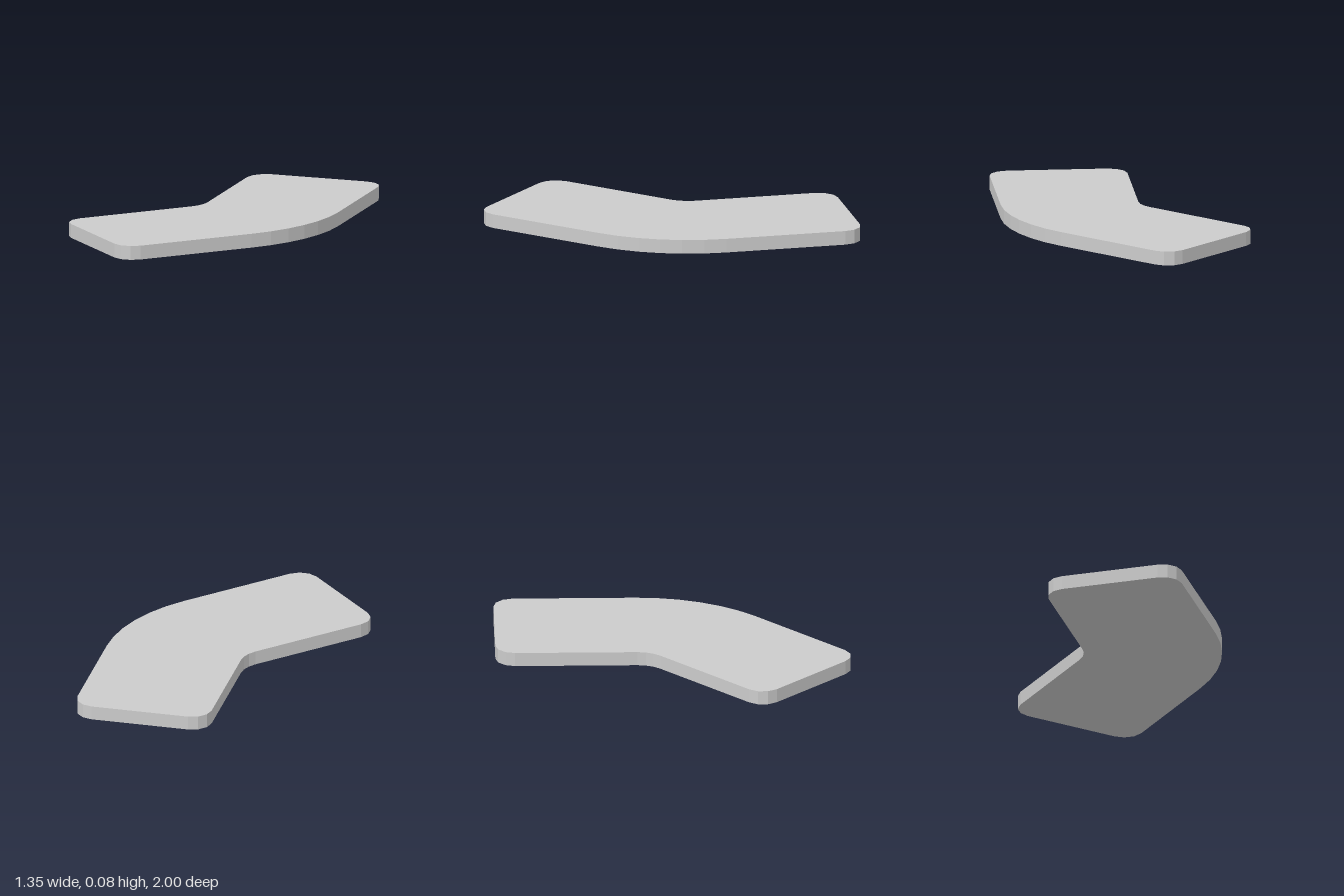
import * as THREE from 'three';

const THICKNESS = 0.08;
const INNER = 0.18;        // inner bend radius
const OUTER = 0.96;        // outer bend radius
const CORNER = 0.11;       // rounding of the four end corners
const PIVOT = new THREE.Vector2(-0.286, 0.2); // centre of the bend
const BACK_LENGTH = 0.8;
const FRONT_LENGTH = 0.806;

// Points of a faceted arc, angles in degrees
function arc(center, radius, from, to, segments) {
  return Array.from({ length: segments + 1 }, (_, i) => {
    const a = THREE.MathUtils.degToRad(from + ((to - from) * i) / segments);
    return new THREE.Vector2(center.x + radius * Math.cos(a), center.y + radius * Math.sin(a));
  });
}

// Rounded end corner: distance from the pivot, along an arm leaving the bend at bendAngle
function endCorner(radial, along, bendAngle, startAngle) {
  const center = new THREE.Vector2(radial, along)
    .rotateAround(new THREE.Vector2(), THREE.MathUtils.degToRad(bendAngle))
    .add(PIVOT);
  return arc(center, CORNER, startAngle, startAngle + 90, 3);
}

export function createModel() {
  const group = new THREE.Group();
  group.name = 'bentSlab';

  const back = BACK_LENGTH - CORNER;
  const front = -(FRONT_LENGTH - CORNER);
  // Outline drawn counter-clockwise, with shape y pointing to the back
  const outline = [
    ...endCorner(OUTER - CORNER, back, 0, 0),
    ...endCorner(INNER + CORNER, back, 0, 90),
    ...arc(PIVOT, INNER, 0, -45, 3),
    ...endCorner(INNER + CORNER, front, -45, 135),
    ...endCorner(OUTER - CORNER, front, -45, 225),
    ...arc(PIVOT, OUTER, -45, 0, 6),
  ];

  const geometry = new THREE.ExtrudeGeometry(new THREE.Shape(outline), {
    depth: THICKNESS,
    bevelEnabled: false,
  });
  geometry.rotateX(-Math.PI / 2);

  const slab = new THREE.Mesh(
    geometry,
    new THREE.MeshStandardMaterial({ color: 0xcccccc, flatShading: true })
  );
  slab.name = 'slab';
  group.add(slab);
  return group;
}
